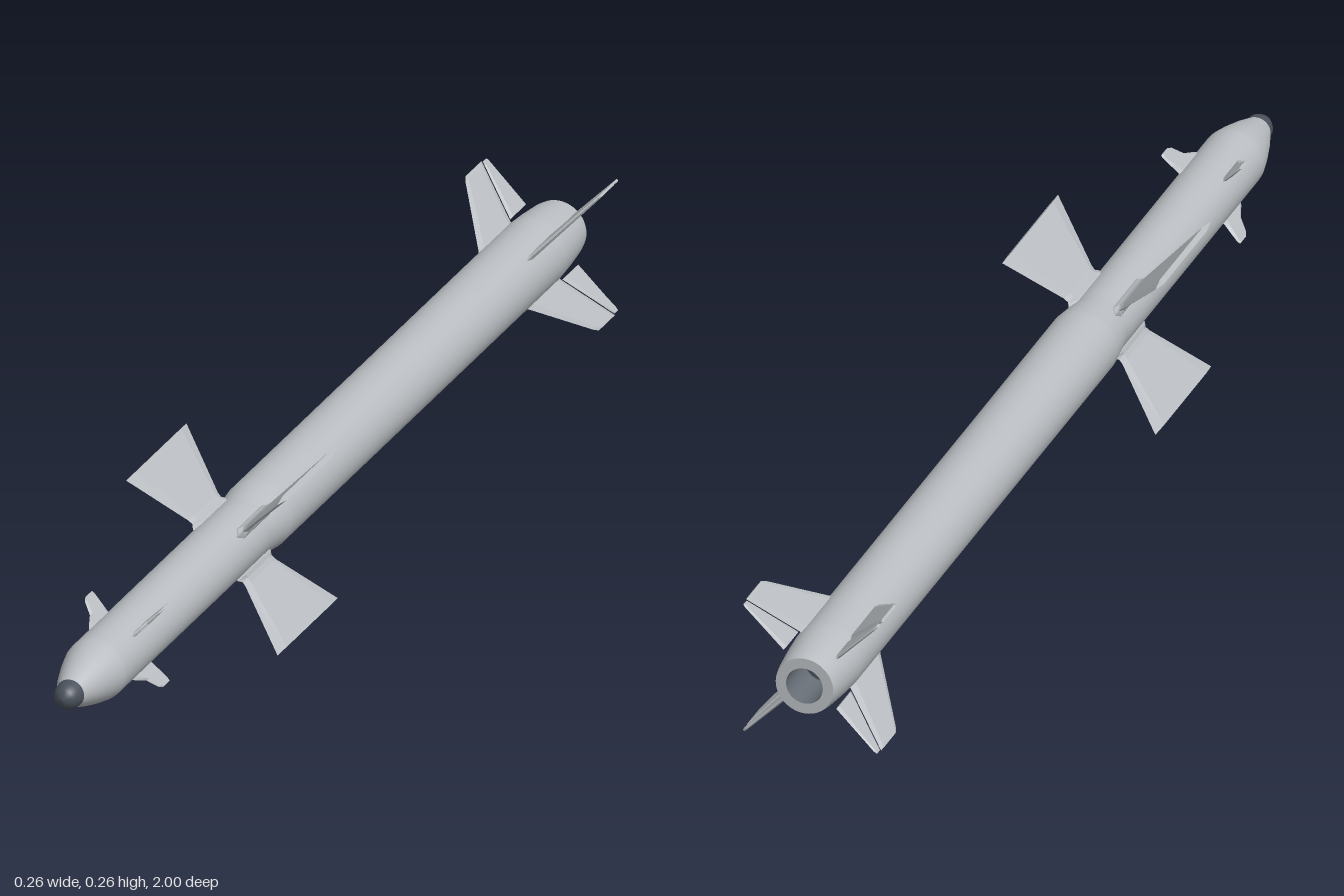
import * as THREE from 'three';

const AXIS_Y = 0.129;

const grey = new THREE.MeshStandardMaterial({ color: 0xb9bdc1 });
grey.name = 'hull grey';
const dark = new THREE.MeshStandardMaterial({ color: 0x4a515c });
dark.name = 'seeker slate';
const slate = new THREE.MeshStandardMaterial({ color: 0x666d75 });
slate.name = 'nozzle grey';

// Surface of revolution along z from [radius, z] pairs
function turned(name, profile, material) {
  const geo = new THREE.LatheGeometry(profile.map(([r, z]) => new THREE.Vector2(r, z)), 48);
  geo.rotateX(Math.PI / 2);
  const mesh = new THREE.Mesh(geo, material);
  mesh.name = name;
  mesh.position.y = AXIS_Y;
  return mesh;
}

// Bevelled fin lofted along +x through sections [radius, leading z, trailing z, half thickness]
function finGeometry(sections) {
  const loops = sections.map(([r, lead, trail, t]) => {
    const at = (f, y) => [r, y, lead + (trail - lead) * f];
    return [at(0, 0), at(0.12, t), at(0.88, t), at(1, 0), at(0.88, -t), at(0.12, -t)];
  });
  const pos = [];
  const tri = (a, b, c) => pos.push(...a, ...b, ...c);
  for (let i = 0; i < loops.length - 1; i++) {
    for (let j = 0; j < 6; j++) {
      const k = (j + 1) % 6;
      const [p, q] = [loops[i], loops[i + 1]];
      tri(p[j], q[k], p[k]);
      tri(p[j], q[j], q[k]);
    }
  }
  const root = loops[0];
  const tip = loops[loops.length - 1];
  for (let j = 1; j < 5; j++) {
    tri(root[0], root[j], root[j + 1]);
    tri(tip[0], tip[j + 1], tip[j]);
  }
  const geo = new THREE.BufferGeometry();
  geo.setAttribute('position', new THREE.Float32BufferAttribute(pos, 3));
  geo.computeVertexNormals();
  return geo;
}

// Four copies in an X arrangement around the hull
function finSet(name, sections) {
  const set = new THREE.Group();
  set.name = name + 's';
  set.position.y = AXIS_Y;
  const geo = finGeometry(sections);
  for (let i = 0; i < 4; i++) {
    const fin = new THREE.Mesh(geo, grey);
    fin.name = name;
    fin.rotation.z = Math.PI / 4 + i * Math.PI / 2;
    set.add(fin);
  }
  return set;
}

export function createModel() {
  const model = new THREE.Group();
  model.name = 'missile';

  // Hull, nose to tail
  model.add(
    turned('seekerTip', [[0.023, 0.968], [0.0215, 0.982], [0.016, 0.993], [0.008, 0.9985], [0, 1]], dark),
    turned('forwardHull', [
      [0.057, -0.9], [0.057, 0.205], [0.057, 0.215], [0.0505, 0.27], [0.0505, 0.28],
      [0.0505, 0.86], [0.05, 0.872], [0.044, 0.9], [0.034, 0.936], [0.023, 0.968]
    ], grey),
    turned('tailCone', [[0.047, -1], [0.05, -0.985], [0.0545, -0.94], [0.057, -0.9]], grey),
    turned('tailRim', [[0.03, -1], [0.047, -1]], grey),
    turned('nozzleBore', [[0.03, -0.92], [0.03, -1]], slate),
    turned('nozzleEnd', [[0, -0.92], [0.03, -0.92]], dark)
  );

  // Small nose fins
  model.add(finSet('noseFin', [
    [0.04, 0.82, 0.728, 0.004],
    [0.055, 0.798, 0.727, 0.003],
    [0.066, 0.775, 0.725, 0.003],
    [0.086, 0.76, 0.722, 0.002],
    [0.091, 0.75, 0.724, 0.002]
  ]));

  // Mid wings, widening outward from a flared root
  model.add(finSet('midWing', [
    [0.04, 0.39, 0.245, 0.012],
    [0.053, 0.382, 0.25, 0.008],
    [0.059, 0.374, 0.258, 0.005],
    [0.067, 0.376, 0.257, 0.0035],
    [0.177, 0.437, 0.194, 0.0045]
  ]));

  // Tail fins with separate trailing control surfaces
  model.add(finSet('tailFin', [
    [0.045, -0.755, -0.905, 0.005],
    [0.06, -0.782, -0.909, 0.004],
    [0.15, -0.885, -0.957, 0.0025],
    [0.156, -0.895, -0.96, 0.002]
  ]));
  model.add(finSet('tailFlap', [
    [0.061, -0.912, -0.976, 0.003],
    [0.148, -0.959, -0.977, 0.002],
    [0.154, -0.963, -0.975, 0.002]
  ]));

  return model;
}
